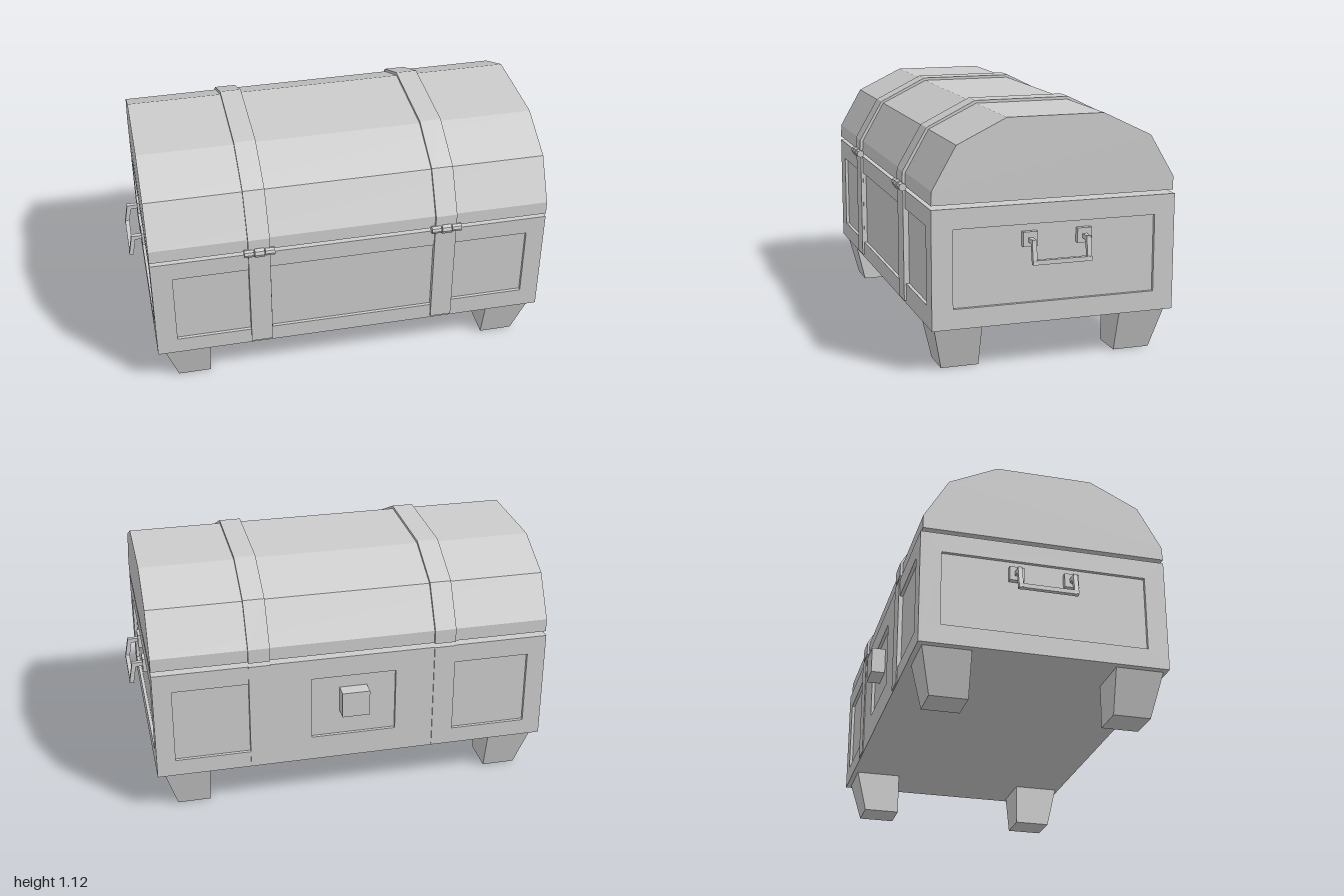
import * as THREE from 'three';

export function createModel() {
  const chest = new THREE.Group();
  chest.name = 'chest';
  const grey = new THREE.MeshStandardMaterial({ color: 0xcccccc });
  grey.name = 'plain grey';
  grey.flatShading = true;

  const add = (geometry, name, parent = chest) => {
    const mesh = new THREE.Mesh(geometry, grey);
    mesh.name = name;
    parent.add(mesh);
    return mesh;
  };
  // Box given by its lower and upper limits
  const block = (name, x0, x1, y0, y1, z0, z1, parent) => {
    const mesh = add(new THREE.BoxGeometry(x1 - x0, y1 - y0, z1 - z0), name, parent);
    mesh.position.set((x0 + x1) / 2, (y0 + y1) / 2, (z0 + z1) / 2);
    return mesh;
  };
  const rect = (target, x0, x1, y0, y1) => {
    target.moveTo(x0, y0).lineTo(x1, y0).lineTo(x1, y1).lineTo(x0, y1).closePath();
    return target;
  };

  // Body core, with framed walls around sunken panels
  const bottom = 0.2, top = 0.73, wall = 0.015;
  block('bodyCore', -0.912, 0.912, bottom, top, -0.54, 0.55);
  const frame = (name, x0, x1, holes, angle, offset) => {
    const shape = rect(new THREE.Shape(), x0, x1, bottom, top);
    for (const h of holes) shape.holes.push(rect(new THREE.Path(), ...h));
    const geometry = new THREE.ExtrudeGeometry(shape, { depth: wall, bevelEnabled: false });
    geometry.translate(0, 0, offset).rotateY(angle);
    add(geometry, name);
  };
  frame('frontFrame', -0.927, 0.927,
    [[-0.83, -0.48, 0.28, 0.64], [-0.38, 0.395, 0.28, 0.645], [0.49, 0.84, 0.295, 0.645]], 0, 0.55);
  frame('backFrame', -0.927, 0.927,
    [[-0.84, -0.49, 0.28, 0.64], [-0.2, 0.2, 0.32, 0.63], [0.48, 0.84, 0.28, 0.64]], Math.PI, 0.54);
  frame('leftFrame', -0.55, 0.54, [[-0.47, 0.46, 0.29, 0.64]], Math.PI / 2, 0.912);
  frame('rightFrame', -0.54, 0.55, [[-0.46, 0.47, 0.29, 0.64]], -Math.PI / 2, 0.912);

  // Faceted lid and its straps: [z, y] profiles drawn along x
  const arch = (name, points, x0, x1) => {
    const shape = new THREE.Shape(points.map(([z, y]) => new THREE.Vector2(-z, y)));
    const geometry = new THREE.ExtrudeGeometry(shape, { depth: x1 - x0, bevelEnabled: false });
    geometry.rotateY(Math.PI / 2).translate(x0, 0, 0);
    add(geometry, name);
  };
  arch('lid', [[0.565, 0.748], [0.562, 0.81], [0.453, 1.0], [0.23, 1.107],
    [-0.21, 1.107], [-0.432, 1.0], [-0.545, 0.81], [-0.545, 0.748]], -0.927, 0.927);
  const strapProfile = [[0.578, 0.765], [0.576, 0.815], [0.462, 1.008], [0.235, 1.12],
    [-0.215, 1.12], [-0.443, 1.008], [-0.557, 0.815], [-0.557, 0.748]];

  for (const x of [-0.432, 0.44]) {
    arch('lidStrap', [[0.578, 0.75], ...strapProfile], x - 0.05, x + 0.05);
    block('frontStrap', x - 0.05, x + 0.05, 0.215, 0.73, 0.55, 0.575);
    block('backStrap', x - 0.05, x + 0.05, 0.205, 0.73, -0.56, -0.54);
    // Hinge knuckles on the front
    for (const [dx, r] of [[-0.048, 0.018], [0, 0.022], [0.048, 0.018]]) {
      const knuckle = add(new THREE.CylinderGeometry(r, r, 0.044, 8), 'hingeKnuckle');
      knuckle.rotation.z = Math.PI / 2;
      knuckle.position.set(x + dx, 0.747, 0.58);
    }
  }

  // Lock on the back
  block('lock', -0.065, 0.065, 0.44, 0.565, -0.605, -0.54);

  // Tapered feet: outer sides lean inwards towards the floor
  for (const sx of [-1, 1]) for (const sz of [-1, 1]) {
    const geometry = new THREE.BoxGeometry(1, 1, 1);
    const p = geometry.attributes.position;
    for (let i = 0; i < p.count; i++) {
      const low = p.getY(i) < 0;
      const outX = p.getX(i) * sx > 0, outZ = p.getZ(i) * sz > 0;
      const x = outX ? (low ? 0.835 : 0.895) : 0.68;
      const z = outZ ? (low ? 0.493 : 0.54) : 0.322;
      p.setXYZ(i, sx * x, low ? 0 : bottom, sz * z + 0.008);
    }
    geometry.computeVertexNormals();
    add(geometry, 'foot');
  }

  // Carrying handles with mounting plates
  const bar = (a, b, size, parent) => {
    const from = new THREE.Vector3(...a), to = new THREE.Vector3(...b);
    const mesh = add(new THREE.BoxGeometry(size, size, from.distanceTo(to) + size), 'handleBar', parent);
    mesh.position.copy(from).add(to).multiplyScalar(0.5);
    mesh.lookAt(to);
  };
  for (const side of [-1, 1]) {
    const handle = new THREE.Group();
    handle.name = side > 0 ? 'leftHandle' : 'rightHandle';
    chest.add(handle);
    for (const z of [-0.125, 0.125]) {
      const plate = block('handlePlate', 0.91, 0.935, 0.542, 0.608, z - 0.033, z + 0.033, handle);
      plate.position.x *= side;
      bar([side * 0.92, 0.572, z], [side * 0.975, 0.572, z], 0.02, handle);
      bar([side * 0.975, 0.572, z], [side * 0.99, 0.485, z], 0.02, handle);
    }
    bar([side * 0.99, 0.485, -0.125], [side * 0.99, 0.485, 0.125], 0.02, handle);
  }
  return chest;
}
